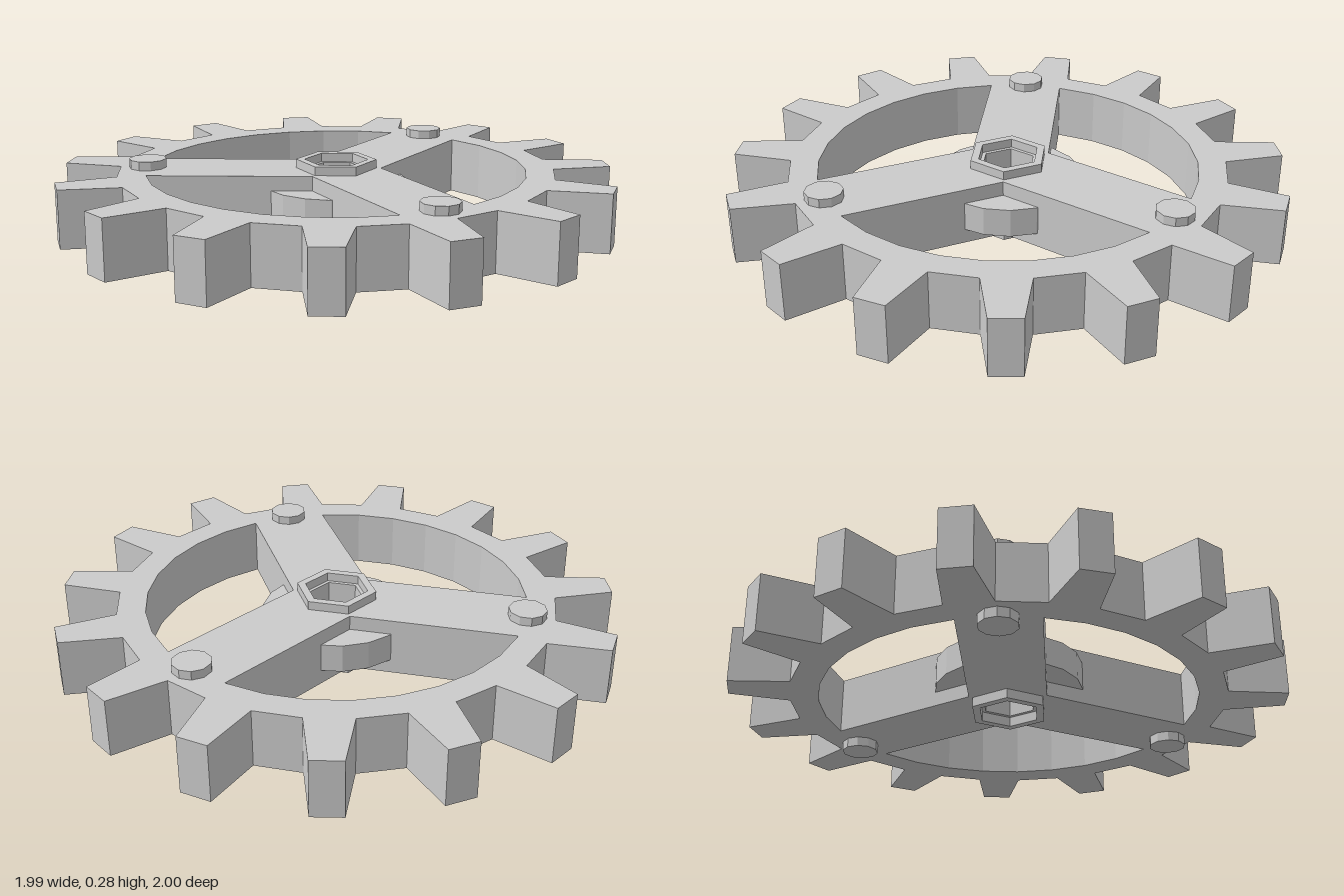
import * as THREE from 'three';

const DEG = Math.PI / 180;
const MID = 0.14;          // mid height of the wheel
const ARM = 42.3;          // direction of the first spoke, degrees
const HALF_ARM = 0.14;     // half the spoke width
const INNER = 0.685;       // inner radius of the rim

const polar = (r, deg) => new THREE.Vector2(r * Math.cos(deg * DEG), r * Math.sin(deg * DEG));
const polygon = (r, sides, start) =>
  Array.from({ length: sides }, (_, i) => polar(r, start + (i * 360) / sides));

const material = new THREE.MeshStandardMaterial({ color: 0xcccccc, flatShading: true });

// Flat plate lying in the ground plane, between two heights
function plate(name, outline, holes, y0, y1) {
  const shape = new THREE.Shape(outline);
  holes.forEach((h) => shape.holes.push(new THREE.Path(h)));
  const geo = new THREE.ExtrudeGeometry(shape, { depth: y1 - y0, bevelEnabled: false });
  geo.rotateX(-Math.PI / 2).translate(0, y0, 0);
  const mesh = new THREE.Mesh(geo, material);
  mesh.name = name;
  return mesh;
}

export function createModel() {
  const group = new THREE.Group();
  group.name = 'gearWheel';
  const bore = polygon(0.1, 6, ARM);

  // Toothed outline: 15 tapered teeth with straight valleys
  const teeth = [];
  for (let i = 0; i < 15; i++) {
    const a = 12 + i * 24;
    const tip = Math.atan(0.055) / DEG;
    teeth.push(polar(0.787, a - 6), polar(1.0015, a - tip), polar(1.0015, a + tip), polar(0.787, a + 6));
  }

  // Openings between the three spokes
  const windows = [0, 1, 2].map((k) => {
    const half = Math.asin(HALF_ARM / INNER) / DEG;
    const from = ARM + k * 120 + half;
    const to = ARM + (k + 1) * 120 - half;
    const points = [polar(HALF_ARM / Math.sin(60 * DEG), ARM + k * 120 + 60), polar(INNER, from)];
    for (let a = 6; a < to - 1; a += 12) if (a > from + 1) points.push(polar(INNER, a));
    points.push(polar(INNER, to));
    return points;
  });
  group.add(plate('rimAndSpokes', teeth, [...windows, bore], 0.035, 0.245));

  // Thin disc bridging the spokes around the hub
  group.add(plate('hubDisc', polygon(0.27, 18, 10), [bore], MID - 0.052, MID + 0.052));

  // Hexagonal collars above and below the hub
  for (const [name, y0, y1] of [['topCollar', 0.245, 0.277], ['bottomCollar', 0, 0.035]]) {
    group.add(plate(name, polygon(0.146, 6, ARM), [polygon(0.115, 6, ARM)], y0, y1));
  }

  // Bolts through the outer ends of the spokes
  for (let k = 0; k < 3; k++) {
    const p = polar(0.687, ARM + k * 120);
    const bolt = new THREE.Mesh(new THREE.CylinderGeometry(0.068, 0.068, 0.277, 10), material);
    bolt.name = 'bolt';
    bolt.position.set(p.x, 0.1385, -p.y);
    group.add(bolt);
  }

  group.position.x = 0.005;
  const model = new THREE.Group();
  model.name = 'spokedGear';
  model.add(group);
  return model;
}
